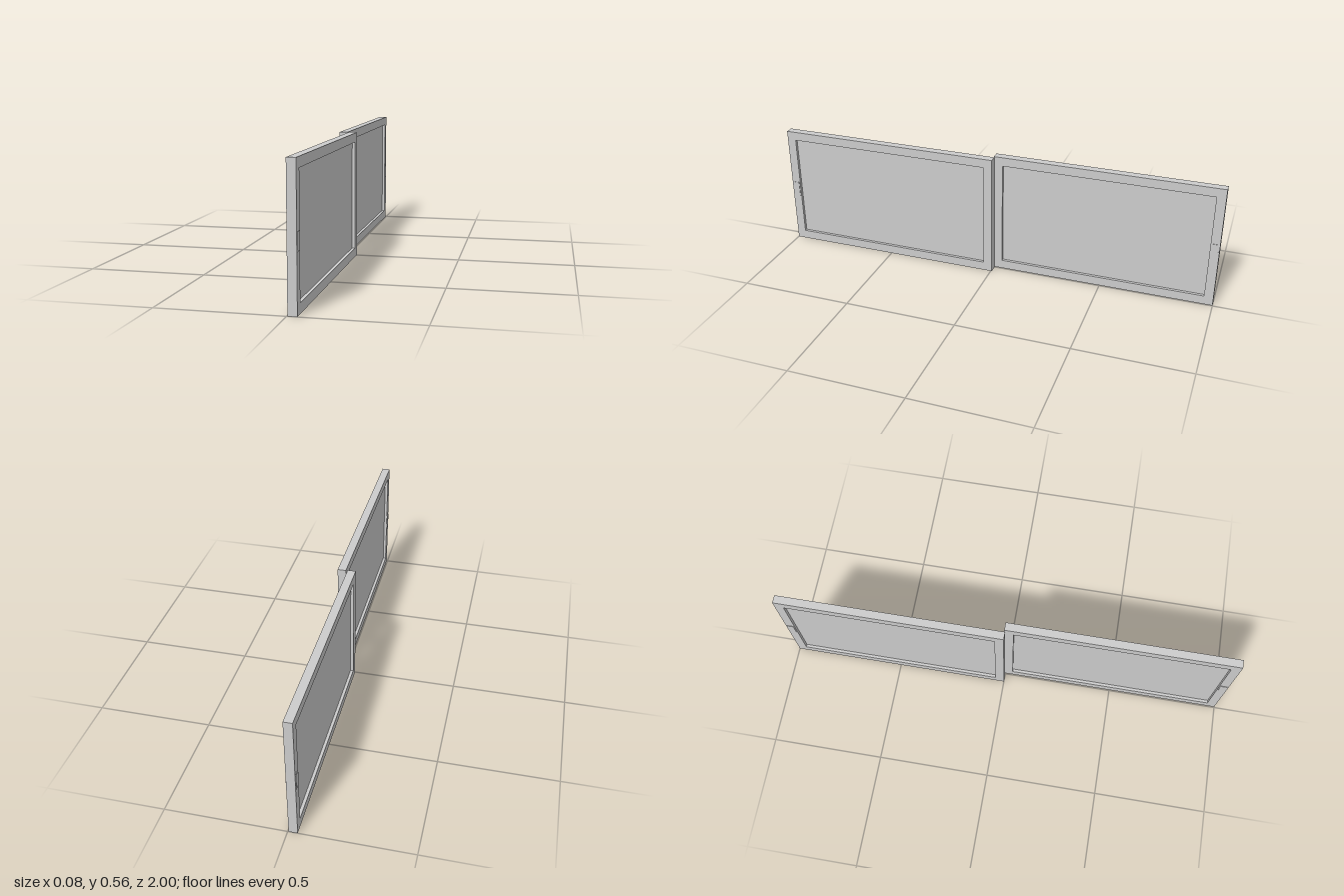
import * as THREE from 'three';

const H = 0.557, T = 0.036, RIM = 0.04;

export function createModel() {
  const group = new THREE.Group();
  const grey = new THREE.MeshStandardMaterial({ color: 0xcccccc });
  grey.name = 'light grey';

  const add = (parent, name, geometry, x, y, z) => {
    const mesh = new THREE.Mesh(geometry, grey);
    mesh.name = name;
    mesh.position.set(x, y, z);
    parent.add(mesh);
  };

  // One sliding door, from z0 to z1, with its pulls centred at pullZ
  const door = (name, x, z0, z1, pullZ) => {
    const panel = new THREE.Group();
    panel.name = name;
    const len = z1 - z0, mid = (z0 + z1) / 2;

    // Rectangular frame with an opening, extruded along x
    const rect = (P, inset) => {
      const a = len / 2 - inset, b = H / 2 - inset;
      return new P([[-a, -b], [a, -b], [a, b], [-a, b]].map(p => new THREE.Vector2(...p)));
    };
    const shape = rect(THREE.Shape, 0);
    shape.holes.push(rect(THREE.Path, RIM));
    const frame = new THREE.ExtrudeGeometry(shape, { depth: T, bevelEnabled: false });
    frame.translate(0, 0, -T / 2).rotateY(Math.PI / 2);
    add(panel, 'doorFrame', frame, x, H / 2, mid);

    // Thin pane set back from both faces
    add(panel, 'pane', new THREE.BoxGeometry(0.01, H - 2 * RIM, len - 2 * RIM), x, H / 2, mid);

    // Flat finger pulls on both faces
    for (const s of [-1, 1]) {
      add(panel, 'fingerPull', new THREE.BoxGeometry(0.002, 0.07, 0.03),
        x + s * (T / 2 + 0.001), 0.265, pullZ);
    }
    group.add(panel);
  };

  door('frontDoor', 0.0215, -0.005, 1, 0.98);
  door('backDoor', -0.0215, -1, 0.0, -0.98);
  return group;
}
